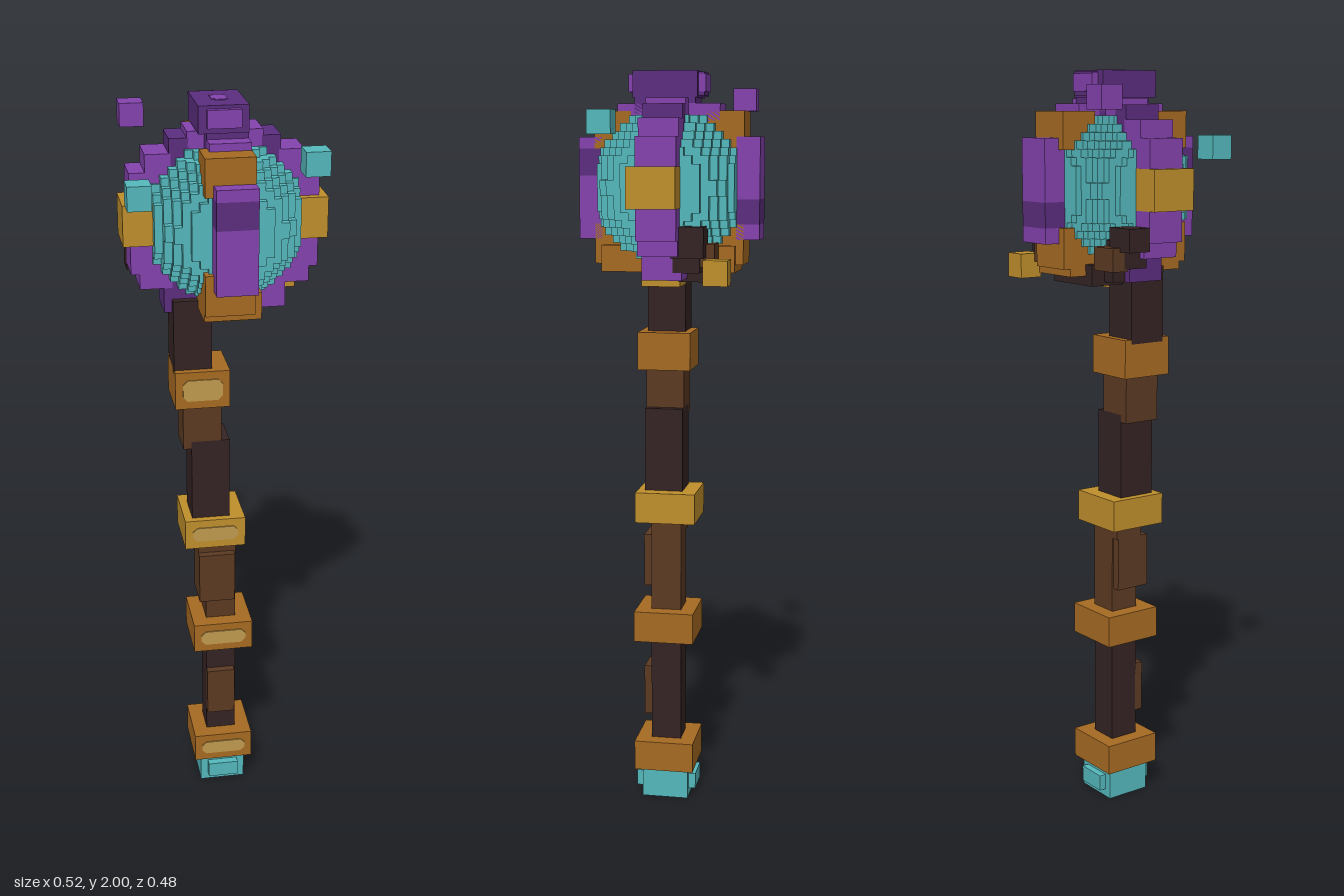
import * as THREE from 'three';
import { mergeGeometries } from 'three/addons/utils/BufferGeometryUtils.js';

const mat = (name, color) => new THREE.MeshStandardMaterial({ name, color });

// Box geometry from its minimum and maximum along each axis
function span(x0, x1, y0, y1, z0, z1) {
  const g = new THREE.BoxGeometry(x1 - x0, y1 - y0, z1 - z0);
  return g.translate((x0 + x1) / 2, (y0 + y1) / 2, (z0 + z1) / 2);
}

export function createModel() {
  const root = new THREE.Group();
  root.name = 'staff';
  const teal = mat('teal crystal', 0x54b8bc);
  const purple = mat('purple', 0x8442ad);
  const violet = mat('dark purple', 0x5b2d7e);
  const bronze = mat('bronze', 0xa66a22);
  const gold = mat('gold', 0xbf8e2c);
  const pale = mat('pale gold', 0xc09a4e);
  const brown = mat('brown wood', 0x5b3a22);
  const dark = mat('dark wood', 0x342323);

  const add = (name, material, ...boxes) => {
    const mesh = new THREE.Mesh(mergeGeometries(boxes.map((b) => span(...b))), material);
    mesh.name = name;
    root.add(mesh);
  };

  // Crystal foot with a raised panel front and back
  add('footCrystal', teal, [-0.074, 0.053, 0, 0.088, -0.053, 0.074],
    [-0.053, 0.032, 0.022, 0.066, -0.072, 0.095]);

  // Crooked shaft, bottom to top
  add('lowerShaft', dark, [-0.053, 0.03, 0.16, 0.48, -0.03, 0.053]);
  add('lowerBark', brown, [-0.053, 0.025, 0.235, 0.375, 0.05, 0.074]);
  add('middleShaft', brown, [-0.053, 0.03, 0.53, 0.8, -0.03, 0.053],
    [-0.074, 0.025, 0.61, 0.755, -0.025, 0.074], [-0.074, 0.025, 0.755, 0.8, -0.03, 0.053]);
  add('upperShaft', dark, [-0.093, 0.01, 0.86, 1.105, -0.03, 0.074]);
  add('upperBark', brown, [-0.115, -0.013, 1.085, 1.22, -0.03, 0.074]);
  add('neck', dark, [-0.137, -0.037, 1.3, 1.5, -0.03, 0.074]);

  // Metal bands, each with a chamfered inlay on its front
  const bands = [
    [bronze, -0.093, 0.072, 0.085, 0.168, -0.07],
    [bronze, -0.093, 0.072, 0.46, 0.545, -0.07],
    [gold, -0.115, 0.05, 0.793, 0.877, -0.07],
    [bronze, -0.137, 0.007, 1.21, 1.312, -0.05],
  ];
  for (const [m, x0, x1, y0, y1, z0] of bands) {
    add('band', m, [x0, x1, y0, y1, z0, 0.094]);
    const a = x0 + 0.02, b = x1 - 0.02, c = y0 + 0.022, d = y1 - 0.022, k = 0.012;
    const s = new THREE.Shape([[a + k, c], [b - k, c], [b, c + k], [b, d - k],
      [b - k, d], [a + k, d], [a, d - k], [a, c + k]].map((p) => new THREE.Vector2(...p)));
    const inlay = new THREE.Mesh(new THREE.ExtrudeGeometry(s, { depth: 0.004, bevelEnabled: false }), pale);
    inlay.position.z = 0.093;
    inlay.name = 'bandInlay';
    root.add(inlay);
  }

  // Stepped crystal ball made of square columns
  const columns = [], step = 0.0205, radius = 0.205, cy = 1.7;
  for (let i = -9; i < 9; i++) {
    for (let j = -9; j < 9; j++) {
      const x = (i + 0.5) * step, y = (j + 0.5) * step;
      const h2 = radius * radius - x * x - y * y;
      if (h2 <= 0) continue;
      const h = Math.min(0.18, Math.round(Math.sqrt(h2) / step) * step);
      if (h <= 0) continue;
      columns.push([x - step / 2, x + step / 2, cy + y - step / 2, cy + y + step / 2, -h, h]);
    }
  }
  add('crystalBall', teal, ...columns);

  // Side to side hoop: stepped blocks mirrored in x
  const t = 0.052;
  for (const s of [-1, 1]) {
    const block = (x0, x1, y0, y1, w = t) =>
      [Math.min(s * x0, s * x1), Math.max(s * x0, s * x1), cy + y0, cy + y1, -w, w];
    add('sideHoop', purple, block(0.178, 0.24, -0.13, 0.13), block(0.135, 0.2, 0.09, 0.175),
      block(0.04, 0.095, 0.16, 0.228), block(0.135, 0.218, -0.17, -0.09));
    add('sideHoopShade', violet, block(0.09, 0.14, 0.14, 0.212));
    add('sideHoopFoot', s > 0 ? purple : violet, block(0.07, 0.157, -0.235, -0.145));
    add('sideNode', gold, [s > 0 ? 0.178 : -0.26, s > 0 ? 0.26 : -0.178, 1.65, 1.755, -0.053, 0.073]);
  }

  // Front to back hoop: purple bars held by bronze clasps
  for (const s of [-1, 1]) {
    const block = (x0, x1, y0, y1, z0, z1) =>
      [x0, x1, y0, y1, Math.min(s * z0, s * z1), Math.max(s * z0, s * z1)];
    const [v0, v1] = s > 0 ? [1.73, 1.8] : [1.605, 1.67];
    add('hoopBar', purple, block(-t, t, 1.565, v0, 0.178, 0.24), block(-t, t, v1, 1.83, 0.178, 0.24));
    add('hoopBarShade', violet, block(-t, t, v0, v1, 0.178, 0.24));
    add('upperClasp', bronze, block(-0.073, 0.052, 1.8, 1.896, 0.1, 0.198));
    add('lowerClasp', bronze, block(-0.073, 0.052, 1.5, 1.605, 0.115, 0.198),
      block(-0.073, 0.072, 1.48, 1.55, 0.095, 0.178));
    add('crownStep', purple, block(-t, t, 1.87, 1.915, 0.05, 0.135));
  }

  // Crown with light panels
  add('crown', violet, [-0.073, 0.052, 1.93, 1.998, -0.075, 0.095], [-t, t, 1.86, 1.935, -0.07, 0.09],
    [-0.05, 0.03, 1.935, 1.995, -0.09, 0.09]);
  add('crownPanel', purple, [-0.053, 0.032, 1.945, 1.99, -0.094, 0.11],
    [-0.03, 0.01, 1.99, 2, -0.012, 0.03], [-0.022, 0.002, 1.99, 2, -0.02, 0.038]);

  // Cradle under the ball
  add('cradle', gold, [-0.04, 0.052, 1.44, 1.5, -0.03, 0.074]);
  add('cradlePlate', bronze, [-0.073, 0.072, 1.48, 1.55, -0.06, 0.1]);
  add('cradleRoots', dark, [-0.1, 0.07, 1.455, 1.51, -0.13, -0.03], [-0.137, -0.05, 1.465, 1.54, -0.09, 0.05]);

  // Wooden claws reaching up behind the ball
  add('rightClaw', dark, [-0.2, -0.1, 1.505, 1.575, -0.1, -0.03], [-0.24, -0.155, 1.55, 1.61, -0.115, -0.05]);
  add('leftClaw', dark, [0.07, 0.16, 1.485, 1.55, -0.1, -0.03], [0.12, 0.197, 1.525, 1.605, -0.115, -0.03]);
  add('clawBark', brown, [-0.2, -0.12, 1.5, 1.56, -0.137, -0.09], [0.08, 0.155, 1.5, 1.56, -0.137, -0.09]);

  // Floating shards
  add('purpleShard', purple, [-0.24, -0.178, 1.9, 1.96, -0.2, -0.137]);
  add('goldShard', gold, [0.155, 0.218, 1.457, 1.522, -0.18, -0.117]);
  add('tealShards', teal, [0.177, 0.239, 1.835, 1.896, 0.114, 0.176], [-0.26, -0.2, 1.775, 1.836, 0.134, 0.196]);
  return root;
}
